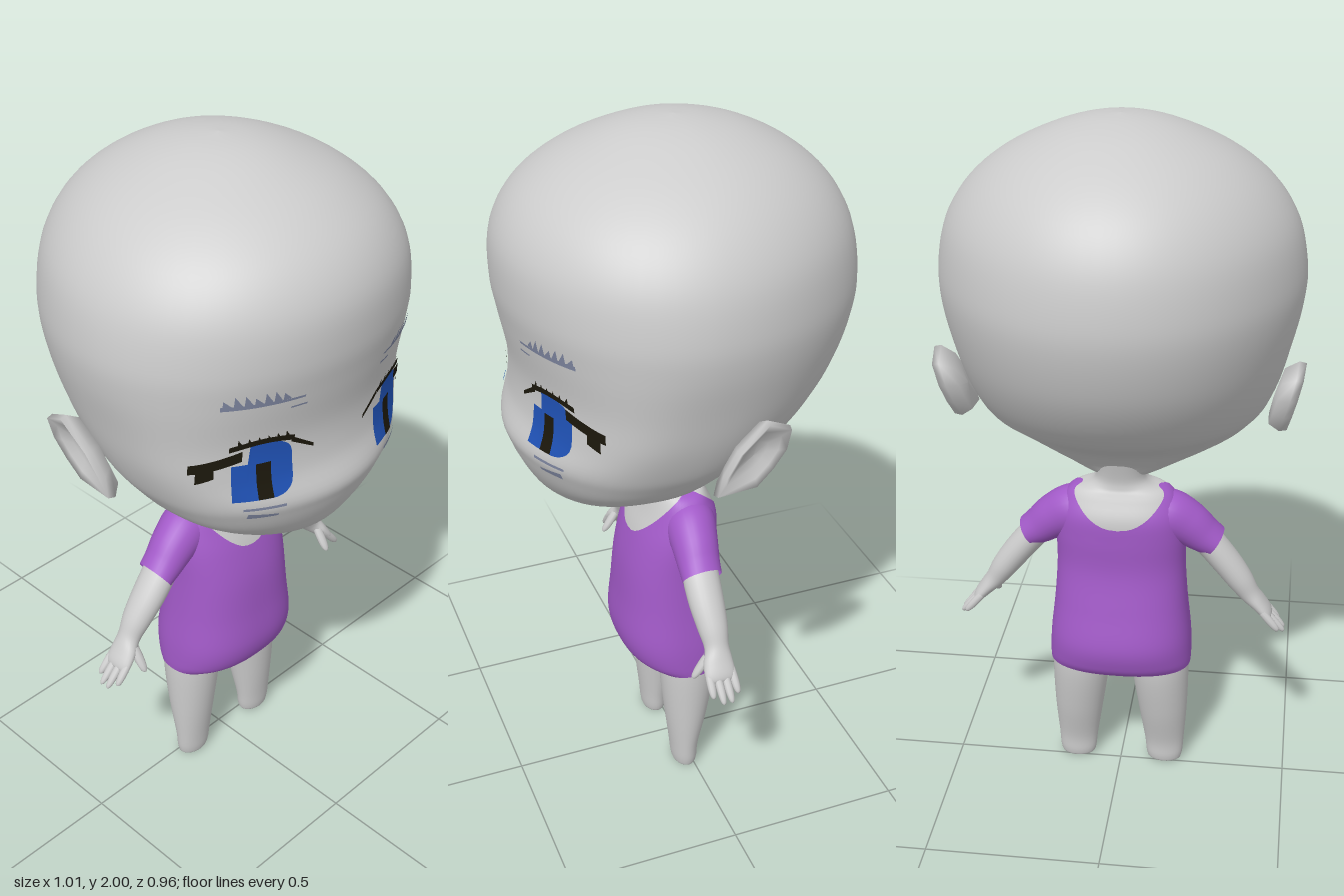
import * as THREE from 'three';

const mat = (name, color, side = THREE.FrontSide) => {
  const m = new THREE.MeshStandardMaterial({ color, side });
  m.name = name;
  return m;
};

// Smooth interpolation through a table of rows, t in 0..1
function sample(rows, t) {
  const f = Math.min(Math.max(t, 0), 1) * (rows.length - 1);
  const i = Math.min(Math.floor(f), rows.length - 2), k = f - i;
  const at = (j) => rows[Math.min(Math.max(j, 0), rows.length - 1)];
  const [a, b, c, d] = [at(i - 1), at(i), at(i + 1), at(i + 2)];
  return b.map((q, n) => q + 0.5 * k * (c[n] - a[n]
    + k * (2 * a[n] - 5 * q + 4 * c[n] - d[n] + k * (3 * (q - c[n]) + d[n] - a[n]))));
}

// Grid surface from fn(u, v) -> [x, y, z]; closed wraps around u
function surface(fn, nu, nv, closed = true) {
  const pos = [], idx = [], cols = closed ? nu : nu + 1;
  for (let j = 0; j <= nv; j++)
    for (let i = 0; i < cols; i++) pos.push(...fn(i / nu, j / nv));
  for (let j = 0; j < nv; j++)
    for (let i = 0; i < nu; i++) {
      const a = j * cols + i, b = j * cols + (i + 1) % cols, c = a + cols, d = b + cols;
      idx.push(a, c, b, b, c, d);
    }
  const g = new THREE.BufferGeometry();
  g.setAttribute('position', new THREE.Float32BufferAttribute(pos, 3));
  g.setIndex(idx);
  g.computeVertexNormals();
  return g;
}

// Horizontal sections: [y, half width, front z, back z, z of widest point, cheek fullness]
function section(rows, u, t, power = 1, inset = 1) {
  const [y, w, zf, zb, zc, cheek = 0] = sample(rows, t);
  const a = u * Math.PI * 2, c = Math.cos(a), s = Math.sin(a);
  const soft = (q) => Math.sign(q) * Math.abs(q) ** power * inset;
  const corner = 1 + (s > 0 ? cheek : cheek && -0.1) * (s * c) ** 2;
  return [w * soft(c) * corner, y, zc + (s > 0 ? zf - zc : zc - zb) * soft(s)];
}

// Parameter in 0..1 at which a rising function reaches a target
function solve(f, target) {
  let lo = 0, hi = 1;
  for (let i = 0; i < 24; i++) {
    const m = (lo + hi) / 2;
    if (f(m) < target) lo = m; else hi = m;
  }
  return lo;
}

// Limb along points [x, y, z, radius across, radius in z]
function limb(rows, nu = 20, nv = 24) {
  return surface((u, v) => {
    const [x, y, z, r, rz] = sample(rows, v);
    const p = sample(rows, v - 0.02), q = sample(rows, v + 0.02);
    const l = Math.hypot(q[0] - p[0], q[1] - p[1]) || 1;
    const dx = (q[0] - p[0]) / l, dy = (q[1] - p[1]) / l;
    const a = u * Math.PI * 2, c = Math.cos(a) * r;
    return [x + dy * c, y - dx * c, z + Math.sin(a) * rz];
  }, nu, nv);
}

function mirrored(geo) {
  const g = geo.clone().scale(-1, 1, 1);
  const ix = g.index.array;
  for (let i = 0; i < ix.length; i += 3) [ix[i + 1], ix[i + 2]] = [ix[i + 2], ix[i + 1]];
  g.computeVertexNormals();
  return g;
}

const HEAD = [
  [0.962, 0, 0.18, 0.18, 0.18, 0.1], [0.966, 0.06, 0.29, 0.06, 0.18, 0.15],
  [0.982, 0.13, 0.345, -0.03, 0.17, 0.2], [1.03, 0.235, 0.4, -0.065, 0.15, 0.25],
  [1.09, 0.325, 0.437, -0.125, 0.13, 0.27], [1.15, 0.375, 0.463, -0.225, 0.11, 0.27],
  [1.2, 0.405, 0.474, -0.305, 0.09, 0.28], [1.28, 0.435, 0.448, -0.378, 0.07, 0.36],
  [1.38, 0.46, 0.443, -0.437, 0.05, 0.3], [1.5, 0.487, 0.464, -0.475, 0.05, 0.12],
  [1.6, 0.492, 0.479, -0.482, 0.05, 0.04], [1.72, 0.467, 0.472, -0.46, 0.04, 0.02],
  [1.82, 0.405, 0.42, -0.405, 0.03, 0.01], [1.9, 0.31, 0.325, -0.315, 0.01, 0.01],
  [1.96, 0.19, 0.2, -0.2, 0, 0.01], [1.99, 0.09, 0.1, -0.09, 0, 0.01], [2, 0, 0, 0, 0, 0.01],
];
const TORSO = [
  [0.37, 0.209, 0.128, -0.108, 0.01], [0.4, 0.21, 0.168, -0.127, 0.015],
  [0.47, 0.207, 0.187, -0.14, 0.02], [0.58, 0.195, 0.178, -0.12, 0.02],
  [0.7, 0.187, 0.165, -0.1, 0.02], [0.8, 0.187, 0.14, -0.102, 0.01],
  [0.87, 0.18, 0.112, -0.1, 0], [0.92, 0.16, 0.093, -0.08, 0],
  [0.945, 0.135, 0.083, -0.068, 0], [0.96, 0.09, 0.078, -0.062, 0],
  [0.99, 0.07, 0.075, -0.062, 0], [1.06, 0.072, 0.08, -0.08, 0],
];
const HIPS = [
  [0.35, 0, 0.01, 0.01, 0.01], [0.353, 0.08, 0.06, -0.045, 0.01],
  [0.364, 0.155, 0.095, -0.075, 0.01], [0.385, 0.19, 0.125, -0.098, 0.01],
  [0.43, 0.19, 0.14, -0.105, 0.01],
];

// Thin patch lying on the face, from x0 to x1 between two heights
function facePatch(x0, x1, lo, hi, nx = 12, ny = 5, lift = 0.005) {
  return surface((u, v) => {
    const x = x1 + (x0 - x1) * u, k = 1 - u;
    const y = lo(k) + (hi(k) - lo(k)) * v;
    const t = solve((q) => sample(HEAD, q)[0], y);
    const s = solve((q) => section(HEAD, 0.25 * (1 - q), t)[0], Math.abs(x));
    return [x, y, section(HEAD, 0.25 * (1 - s), t)[2] + lift];
  }, nx, ny, false);
}

export function createModel() {
  const model = new THREE.Group();
  model.name = 'figure';
  const skin = mat('skin grey', 0xcccccc);
  const purple = mat('shirt purple', 0xa25ac8, THREE.DoubleSide);
  const blue = mat('iris blue', 0x2053b8);
  const dark = mat('lash black', 0x1c180c);
  const slate = mat('brow slate', 0x8088a2);

  const add = (name, geo, m) => {
    const mesh = new THREE.Mesh(geo, m);
    mesh.name = name;
    model.add(mesh);
  };
  const pair = (name, geo, m) => {
    add(name + 'Left', geo, m);
    add(name + 'Right', mirrored(geo), m);
  };

  // Head, neck, torso and hips
  add('head', surface((u, v) => section(HEAD, u, v), 64, 80), skin);
  add('torsoAndNeck', surface((u, v) => section(TORSO, u, v, 0.84, 0.975), 48, 48), skin);
  add('hips', surface((u, v) => section(HIPS, u, v, 0.84), 40, 16), skin);

  // Shirt body with a rounded neckline, deeper at the front
  add('shirt', surface((u, v) => {
    const a = u * Math.PI * 2, c2 = Math.cos(a) ** 2;
    const low = Math.sin(a) > 0 ? 0.8 : 0.85;
    const top = low + (0.953 - low) * 2.2 * c2 / (1 + 1.2 * c2);
    return section(TORSO, u, v * solve((q) => sample(TORSO, q)[0], top), 0.84);
  }, 72, 40), purple);
  pair('sleeve', limb([
    [0.09, 0.868, 0, 0.07, 0.07], [0.14, 0.858, 0.003, 0.075, 0.072],
    [0.19, 0.832, 0.01, 0.066, 0.066], [0.235, 0.797, 0.016, 0.055, 0.06],
    [0.272, 0.772, 0.02, 0.045, 0.057],
  ], 28), purple);

  // Arms tapering to flattened palms
  pair('arm', limb([
    [0.17, 0.84, 0.01, 0.045, 0.05], [0.24, 0.785, 0.018, 0.043, 0.052],
    [0.3, 0.715, 0.02, 0.042, 0.05], [0.345, 0.655, 0.018, 0.038, 0.043],
    [0.375, 0.61, 0.018, 0.03, 0.035], [0.4, 0.58, 0.024, 0.024, 0.042],
    [0.425, 0.55, 0.026, 0.018, 0.044], [0.436, 0.535, 0.026, 0.01, 0.034],
    [0.438, 0.533, 0.026, 0, 0],
  ], 24, 40), skin);

  // Four fingers and a thumb on each hand
  const finger = (x0, y0, z0, x1, y1, z1, r) => limb([0, 0.35, 0.7, 0.93, 1].map((k, i) => {
    const q = r * [1, 1.05, 0.95, 0.6, 0][i];
    return [x0 + (x1 - x0) * k, y0 + (y1 - y0) * k, z0 + (z1 - z0) * k, q, q];
  }), 10, 12);
  for (let i = 0; i < 4; i++) {
    const z = 0.058 - i * 0.022, mid = i === 1 || i === 2;
    pair('finger' + (i + 1), finger(0.415, 0.56, z, mid ? 0.482 : 0.465, mid ? 0.488 : 0.502, z * 1.1 - 0.004, 0.0115), skin);
  }
  pair('thumb', finger(0.385, 0.595, 0.045, 0.385, 0.525, 0.09, 0.014), skin);

  // Legs with small rounded feet
  pair('leg', limb([
    [0.117, 0.45, 0.003, 0.08, 0.083], [0.12, 0.34, 0.004, 0.084, 0.083],
    [0.128, 0.2, 0.011, 0.073, 0.065], [0.133, 0.08, 0.02, 0.06, 0.043],
    [0.134, 0.02, 0.02, 0.054, 0.037], [0.134, 0.001, 0.02, 0.042, 0.028],
    [0.134, 0.001, 0.02, 0, 0],
  ], 28, 36), skin);

  // Ears: angular outline [z, y], dished, leaning out at the top
  const outline = [[0.06, 1.15], [0.04, 1.21], [0.01, 1.285], [-0.06, 1.37],
    [-0.125, 1.34], [-0.12, 1.275], [-0.09, 1.215], [-0.05, 1.16]];
  const earRings = [[0, -0.05], [0.8, -0.043], [1, -0.01], [0.96, 0.01], [0.72, 0], [0.4, -0.016], [0, -0.019]];
  pair('ear', surface((u, v) => {
    const [z, y] = outline[Math.round(u * 8) % 8];
    const [k, dx] = earRings[Math.round(v * 6)];
    const py = 1.255 + (y - 1.255) * k;
    return [0.469 + dx + (py - 1.255) * 0.22, py, -0.04 + (z + 0.04) * k];
  }, 8, 6), skin);

  // Face details: mirrored, sitting slightly further out on the right
  const flat = (y) => () => y;
  const slope = (a, b) => (k) => a + (b - a) * k;
  const detail = (name, m, x0, x1, ...rest) => {
    add(name + 'Left', facePatch(x0, x1, ...rest), m);
    add(name + 'Right', mirrored(facePatch(x0 + 0.03, x1 + 0.03, ...rest)), m);
  };

  // Irises share one uneven shape: notched at the upper left, rounded at the right
  for (const [side, x] of [['Left', 0.13], ['Right', -0.315]]) {
    const round = (k) => 1 - Math.sqrt(1 - Math.max(0, (k - 0.6) / 0.4) ** 2);
    const top = (k) => (k < 0.28 ? 1.332 : 1.386 - 0.045 * round(k));
    add('iris' + side, facePatch(x, x + 0.148, (k) => 1.225 + 0.05 * round(k), top, 32, 8), blue);
    add('pupil' + side, facePatch(x + 0.054, x + 0.09, flat(1.227), flat(1.33), 6, 6, 0.008), dark);
  }

  // Upper lash line with spikes, inner corner and outer lash
  const lid = (k) => 1.376 + 0.012 * Math.sin(k * Math.PI);
  detail('upperLash', dark, 0.135, 0.292, lid, (k) => lid(k) + 0.016, 20, 2, 0.008);
  detail('innerLash', dark, 0.075, 0.14, slope(1.333, 1.37), slope(1.343, 1.386), 6, 2);
  detail('outerLash', dark, 0.262, 0.365, slope(1.345, 1.312), slope(1.375, 1.34), 10, 3, 0.007);
  detail('outerLashTip', dark, 0.32, 0.352, slope(1.3, 1.282), flat(1.33), 4, 3);
  for (let i = 0; i < 6; i++) {
    const x = 0.145 + i * 0.023;
    detail('lashSpike' + (i + 1), dark, x, x + 0.014, flat(1.388), slope(1.389, 1.412), 2, 2, 0.007);
  }

  // Brows: thin bar with upright hairs
  detail('brow', slate, 0.125, 0.32, flat(1.507), slope(1.513, 1.52), 16, 2);
  detail('browInnerLine', slate, 0.117, 0.16, flat(1.483), flat(1.488), 4, 1);
  for (let i = 0; i < 7; i++) {
    const x = 0.165 + i * 0.022;
    detail('browHair' + (i + 1), slate, x, x + 0.019, flat(1.515), slope(1.518, i % 3 ? 1.547 : 1.537), 3, 2);
  }

  // Faint lines below the eyes
  detail('underEyeLine', slate, 0.165, 0.262, flat(1.194), flat(1.202), 8, 1);
  detail('underEyeMark', slate, 0.18, 0.25, flat(1.165), slope(1.172, 1.182), 8, 2);
  return model;
}
